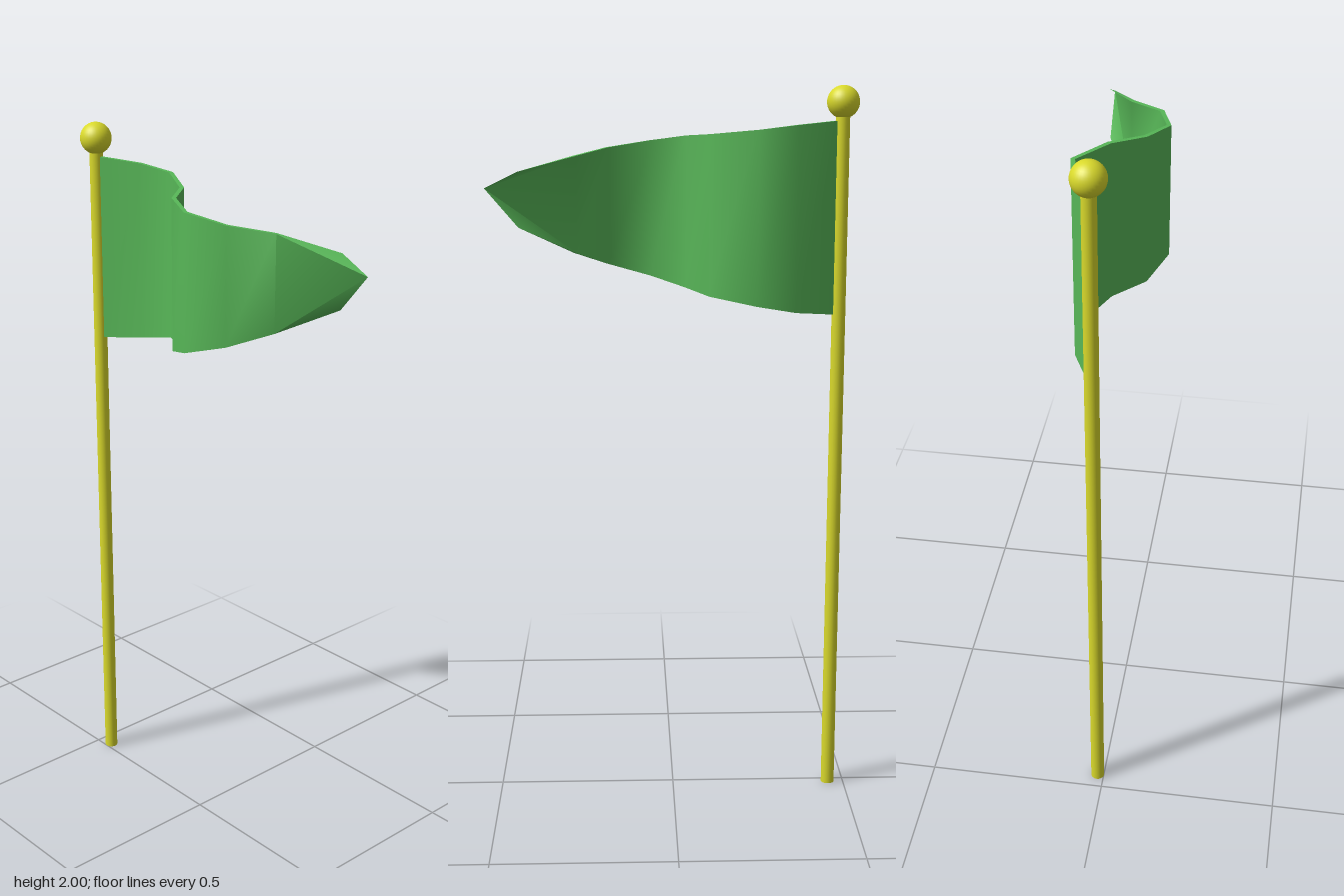
import * as THREE from 'three';
import { toCreasedNormals } from 'three/addons/utils/BufferGeometryUtils.js';

const POLE_X = 0.018, POLE_Z = -0.455;

// Stations of the waving cloth: x, z, bottom y, top y
const STATIONS = [
  [0.018, -0.445, 1.385, 1.907],
  [0.075, -0.33, 1.398, 1.897],
  [0.095, -0.225, 1.418, 1.885],
  [0.027, -0.102, 1.437, 1.872],
  [-0.055, -0.04, 1.452, 1.866],
  [-0.1, 0.058, 1.48, 1.852],
  [-0.067, 0.178, 1.517, 1.834],
  [0.02, 0.265, 1.556, 1.815],
];
const HALF = 0.006;

function pennantGeometry() {
  const pos = [];
  const tri = (...pts) => pts.forEach((p) => pos.push(...p));
  const quad = (a, b, c, d) => { tri(a, b, c); tri(a, c, d); };

  // Rectangular cross-section at each station, turned along the wave
  const rings = STATIONS.map(([x, z, y0, y1], i) => {
    const p = STATIONS[Math.max(i - 1, 0)];
    const n = STATIONS[Math.min(i + 1, STATIONS.length - 1)];
    const t = new THREE.Vector2(n[0] - p[0], n[1] - p[1]).normalize();
    const dx = t.y * HALF, dz = -t.x * HALF;
    return [
      [x + dx, y0, z + dz], [x + dx, y1, z + dz],
      [x - dx, y1, z - dz], [x - dx, y0, z - dz],
    ];
  });
  for (let i = 0; i < rings.length - 1; i++) {
    const r = rings[i], s = rings[i + 1];
    for (let k = 0; k < 4; k++) {
      const n = (k + 1) % 4;
      quad(s[k], r[k], r[n], s[n]);
    }
  }

  // Pointed end, fanned from the last cross-section to a sharp edge
  const [ab, at, bt, bb] = rings[rings.length - 1];
  const top = [0.106, 1.778, 0.412], tip = [0.106, 1.735, 0.5], low = [0.106, 1.632, 0.412];
  tri(ab, at, tip); tri(at, top, tip); tri(ab, tip, low);
  tri(bt, bb, tip); tri(top, bt, tip); tri(tip, bb, low);
  tri(at, bt, top); tri(bb, ab, low);

  const geo = new THREE.BufferGeometry();
  geo.setAttribute('position', new THREE.Float32BufferAttribute(pos, 3));
  return toCreasedNormals(geo, 1.1);
}

export function createModel() {
  const group = new THREE.Group();
  group.name = 'flag';
  const yellow = new THREE.MeshStandardMaterial({ color: 0xd9d92b });
  const green = new THREE.MeshStandardMaterial({ color: 0x58b858, side: THREE.DoubleSide });

  const add = (name, geo, mat, x = 0, y = 0, z = 0) => {
    const mesh = new THREE.Mesh(geo, mat);
    mesh.name = name;
    mesh.position.set(x, y, z);
    group.add(mesh);
  };

  add('pole', new THREE.CylinderGeometry(0.019, 0.019, 1.94, 20), yellow, POLE_X, 0.97, POLE_Z);
  add('finial', new THREE.SphereGeometry(0.044, 32, 20), yellow, POLE_X, 1.956, POLE_Z);
  add('pennant', pennantGeometry(), green);
  return group;
}
